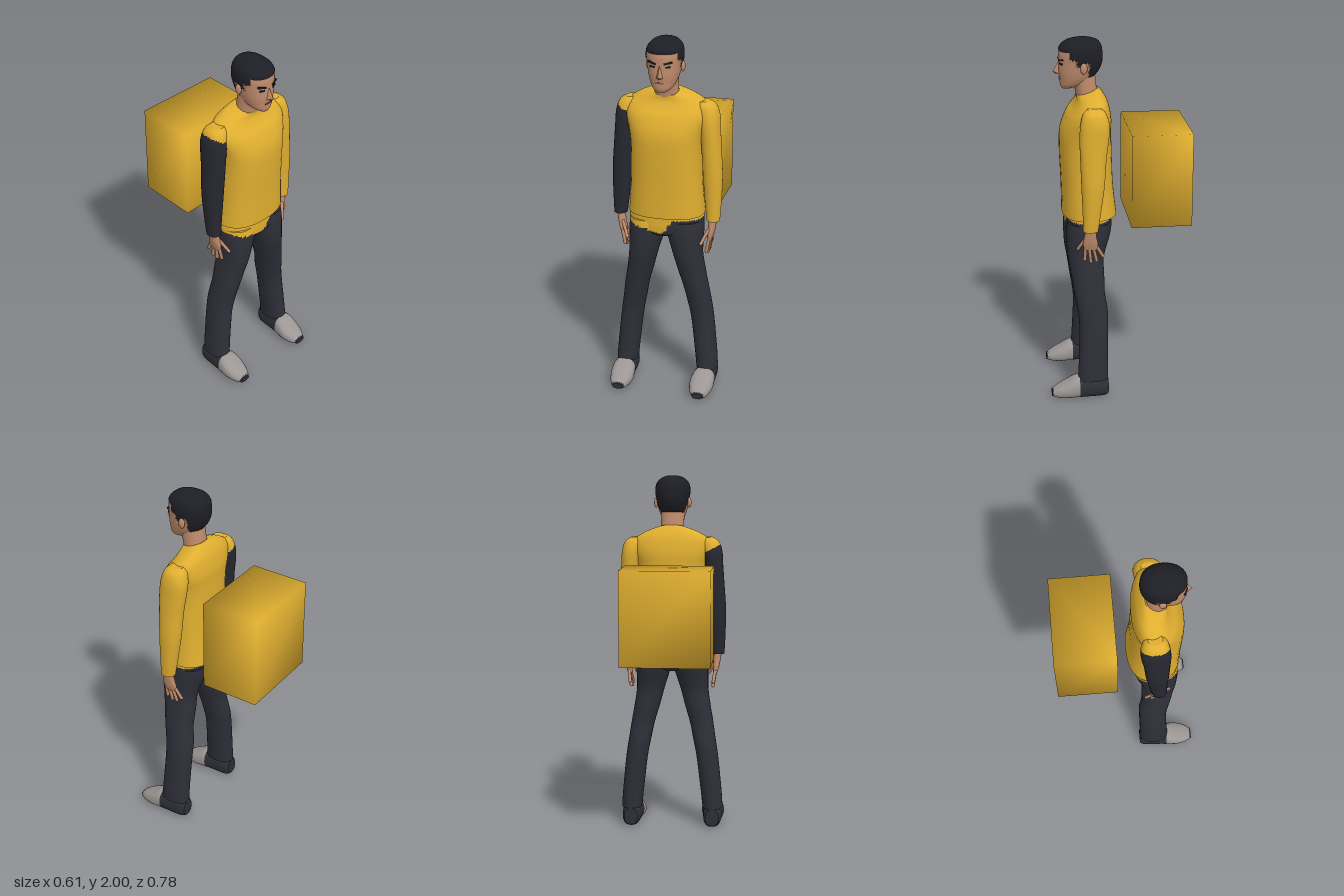
import * as THREE from 'three';
import { mergeVertices } from 'three/addons/utils/BufferGeometryUtils.js';
import { ConvexGeometry } from 'three/addons/geometries/ConvexGeometry.js';

const mat = (name, color) => new THREE.MeshStandardMaterial({ name, color });

// Smooth tube through rings [y, centreX, centreZ, radiusX, radiusZ], listed from low to high
function loft(rings, { n = 28, sub = 5, p = 2.2, shape = null } = {}) {
  const rows = [];
  const at = i => rings[Math.min(Math.max(i, 0), rings.length - 1)];
  for (let i = 0; i < rings.length - 1; i++) {
    for (let k = 0; k < sub; k++) {
      const t = k / sub;
      rows.push(at(i).map((b, c) => {
        const a = at(i - 1)[c], d = at(i + 1)[c], e = at(i + 2)[c];
        return b + 0.5 * t * (d - a + t * (2 * a - 5 * b + 4 * d - e + t * (3 * (b - d) + e - a)));
      }));
    }
  }
  rows.push(at(rings.length));
  const pos = [], idx = [];
  const sup = c => Math.sign(c) * Math.abs(c) ** (2 / p);
  const addRing = ([y, cx, cz, rx, rz]) => {
    for (let i = 0; i < n; i++) {
      const a = i / n * Math.PI * 2;
      pos.push(cx + rx * sup(Math.cos(a)), y, cz + rz * sup(Math.sin(a)));
    }
  };
  rows.forEach(addRing);
  for (let j = 0; j < rows.length - 1; j++) {
    for (let i = 0; i < n; i++) {
      const a = j * n + i, b = j * n + (i + 1) % n;
      idx.push(a, a + n, b, b, a + n, b + n);
    }
  }
  // End caps with their own vertices keep the rims sharp
  [rows[0], rows[rows.length - 1]].forEach((r, top) => {
    const s = pos.length / 3;
    addRing(r);
    pos.push(r[1], r[0], r[2]);
    for (let i = 0; i < n; i++) {
      const a = s + i, b = s + (i + 1) % n;
      idx.push(s + n, top ? b : a, top ? a : b);
    }
  });
  const g = new THREE.BufferGeometry();
  g.setAttribute('position', new THREE.Float32BufferAttribute(pos, 3));
  g.setIndex(idx);
  if (shape) {
    const v = new THREE.Vector3(), q = g.attributes.position;
    for (let i = 0; i < q.count; i++) {
      v.fromBufferAttribute(q, i);
      shape(v);
      q.setXYZ(i, v.x, v.y, v.z);
    }
  }
  g.computeVertexNormals();
  return g;
}

// Sort faces into two material groups by the position of their centre
function paint(g, isSecond) {
  const src = g.index.array, q = g.attributes.position, lists = [[], []];
  for (let i = 0; i < src.length; i += 3) {
    const f = [src[i], src[i + 1], src[i + 2]];
    const mid = get => f.reduce((s, k) => s + q[get](k), 0) / 3;
    lists[isSecond(mid('getX'), mid('getY'), mid('getZ')) ? 1 : 0].push(...f);
  }
  g.setIndex([...lists[0], ...lists[1]]);
  g.addGroup(0, lists[0].length, 0);
  g.addGroup(lists[0].length, lists[1].length, 1);
  return g;
}

export function createModel() {
  const root = new THREE.Group();
  root.name = 'courier';
  const gold = mat('gold', 0xdfae30), trouser = mat('trouser dark', 0x2e2f38);
  const sleeveDark = mat('sleeve dark', 0x272730), skin = mat('skin', 0xc08c6c);
  const hair = mat('hair', 0x1e1e26), shoeGrey = mat('shoe grey', 0x9c9794);
  const lip = mat('lip', 0x8a5a48);
  const add = (name, geo, m, parent = root) => {
    const mesh = new THREE.Mesh(geo, m);
    mesh.name = name;
    parent.add(mesh);
    return mesh;
  };

  // Backpack box with softly shaded corners
  let box = new THREE.BoxGeometry(0.486, 0.515, 0.33);
  box.deleteAttribute('uv');
  box.deleteAttribute('normal');
  box = mergeVertices(box);
  box.computeVertexNormals();
  add('deliveryBox', box, gold).position.set(0, 1.2575, -0.225);

  // Shirt, its collar tilted down to the front
  add('shirt', loft([
    [1.03, 0, 0.15, 0.208, 0.15], [1.2, 0, 0.16, 0.195, 0.142], [1.4, 0, 0.167, 0.19, 0.142],
    [1.5, 0, 0.165, 0.2, 0.138], [1.58, 0, 0.15, 0.222, 0.122], [1.64, 0, 0.14, 0.215, 0.095],
    [1.68, 0, 0.143, 0.155, 0.072], [1.703, 0, 0.15, 0.1, 0.062], [1.712, 0, 0.155, 0.074, 0.058],
  ], { p: 2.4, n: 40, shape: v => {
    v.y += (0.15 - v.z) * 0.3 * THREE.MathUtils.smoothstep(v.y, 1.58, 1.7);
  } }), gold);

  // Uneven edge between shirt tail and trousers
  const tail = (x, y) => y > (x < 0 ? 0.93 - x * 0.27 : Math.min(0.93 + x * 1.4, 1.015));
  add('hips', paint(loft([
    [0.905, 0, 0.165, 0.06, 0.07], [0.93, 0, 0.162, 0.15, 0.113], [0.96, 0, 0.158, 0.195, 0.124],
    [1.01, 0, 0.155, 0.205, 0.126], [1.08, 0, 0.157, 0.185, 0.122],
  ], { n: 64, sub: 8, p: 2.4 }), tail), [trouser, gold]);

  for (const s of [1, -1]) {
    const side = s > 0 ? 'left' : 'right';
    const mirror = rings => rings.map(([y, x, ...r]) => [y, x * s, ...r]);

    // Trouser leg
    add(side + 'Leg', paint(loft(mirror([
      [0.105, 0.233, 0.155, 0.058, 0.085], [0.2, 0.225, 0.152, 0.06, 0.082],
      [0.4, 0.203, 0.146, 0.062, 0.08], [0.5, 0.186, 0.15, 0.064, 0.084],
      [0.6, 0.168, 0.165, 0.067, 0.085], [0.7, 0.145, 0.172, 0.073, 0.092],
      [0.8, 0.125, 0.18, 0.08, 0.1], [0.93, 0.106, 0.164, 0.1, 0.121], [1.0, 0.102, 0.155, 0.1, 0.122],
    ]), { sub: 6 }), tail), [trouser, gold]);

    // Sleeve; the right one is dark below the shoulder
    add(side + 'Sleeve', paint(loft(mirror([
      [1.0, 0.26, 0.165, 0.036, 0.041], [1.1, 0.257, 0.158, 0.044, 0.049],
      [1.25, 0.252, 0.15, 0.052, 0.062], [1.4, 0.242, 0.146, 0.052, 0.07],
      [1.5, 0.235, 0.14, 0.052, 0.078], [1.58, 0.225, 0.135, 0.057, 0.077],
      [1.635, 0.212, 0.135, 0.052, 0.062], [1.66, 0.2, 0.135, 0.03, 0.038],
    ]), { sub: 8 }), (x, y) => s < 0 && y < 1.6 + (-x - 0.23) * 0.5), [gold, sleeveDark]);

    // Hand with spread fingers
    const hand = new THREE.Group();
    hand.name = side + 'Hand';
    root.add(hand);
    add('palm', loft(mirror([
      [0.885, 0.243, 0.162, 0.012, 0.036], [0.92, 0.248, 0.165, 0.018, 0.042],
      [0.96, 0.254, 0.166, 0.02, 0.034], [1.01, 0.258, 0.165, 0.023, 0.028],
    ]), { n: 14, sub: 3 }), skin, hand);
    [
      [0.245, 0.905, 0.132, 0.236, 0.84, 0.095], [0.246, 0.9, 0.15, 0.233, 0.812, 0.13],
      [0.246, 0.9, 0.172, 0.231, 0.806, 0.162], [0.246, 0.905, 0.192, 0.229, 0.82, 0.196],
      [0.243, 0.955, 0.19, 0.205, 0.875, 0.232],
    ].forEach(([x0, y0, z0, x1, y1, z1], i) => {
      const a = new THREE.Vector3(x0 * s, y0, z0), b = new THREE.Vector3(x1 * s, y1, z1);
      const dir = b.clone().sub(a);
      const finger = add(i < 4 ? 'finger' + (i + 1) : 'thumb',
        new THREE.CapsuleGeometry(0.0095, dir.length() - 0.01, 3, 8), skin, hand);
      finger.position.copy(a).add(b).multiplyScalar(0.5);
      finger.quaternion.setFromUnitVectors(new THREE.Vector3(0, 1, 0), dir.normalize());
    });

    // Shoe, lofted along its length, with dark heel and sole
    const shoe = loft(mirror([
      [0.07, 0.233, -0.058, 0.038, 0.048], [0.1, 0.233, -0.058, 0.05, 0.06],
      [0.2, 0.233, -0.06, 0.057, 0.063], [0.25, 0.232, -0.06, 0.064, 0.062],
      [0.3, 0.23, -0.046, 0.065, 0.048], [0.35, 0.23, -0.034, 0.052, 0.033],
      [0.388, 0.23, -0.026, 0.03, 0.016],
    ]), { n: 20, p: 2.5, shape: v => { v.z = Math.min(v.z, 0); } }).rotateX(Math.PI / 2);
    add(side + 'Shoe', paint(shoe, (x, y, z) => z < 0.235 || y < 0.008 || z > 0.38), [shoeGrey, trouser]);

    // Ear, brow and eye
    add(side + 'Ear', new THREE.SphereGeometry(1, 12, 8).scale(0.012, 0.03, 0.019), skin)
      .position.set(0.093 * s, 1.85, 0.178);
    const brow = add(side + 'Brow', new THREE.BoxGeometry(0.046, 0.009, 0.009), hair);
    brow.position.set(0.043 * s, 1.889, 0.296);
    brow.rotation.set(0, 0.38 * s, 0.2 * s);
    const eye = add(side + 'Eye', new THREE.BoxGeometry(0.028, 0.009, 0.006), hair);
    eye.position.set(0.041 * s, 1.868, 0.296);
    eye.rotation.y = 0.38 * s;
  }

  // Neck
  add('neck', loft([
    [1.65, 0, 0.15, 0.075, 0.06], [1.7, 0, 0.157, 0.066, 0.058], [1.8, 0, 0.175, 0.066, 0.065],
  ]), skin);

  // Head, with short hair swollen slightly off the scalp
  const isHair = (x, y, z) =>
    y > (z > 0.25 ? 1.935 : z > 0.215 ? 1.895 : z > 0.195 ? 1.86 : z > 0.15 ? 1.878 : 1.775);
  add('head', paint(loft([
    [1.73, 0, 0.262, 0.026, 0.028], [1.748, 0, 0.238, 0.052, 0.06], [1.78, 0, 0.215, 0.07, 0.086],
    [1.82, 0, 0.2, 0.082, 0.106], [1.87, 0, 0.19, 0.09, 0.115], [1.92, 0, 0.19, 0.093, 0.115],
    [1.955, 0, 0.187, 0.085, 0.106], [1.982, 0, 0.182, 0.06, 0.08], [1.996, 0, 0.18, 0.024, 0.035],
  ], { n: 48, sub: 6, shape: v => {
    if (!isHair(v.x, v.y, v.z)) return;
    v.x *= 1.05;
    v.z += (v.z - 0.19) * 0.04;
    v.y += 0.004;
  } }), isHair), [skin, hair]);

  // Nose and mouth
  const nose = [[0, 1.878, 0.305], [0, 1.82, 0.336], [0.018, 1.81, 0.303], [-0.018, 1.81, 0.303],
    [0, 1.808, 0.325], [0.012, 1.86, 0.295], [-0.012, 1.86, 0.295], [0, 1.808, 0.29]];
  add('nose', new ConvexGeometry(nose.map(q => new THREE.Vector3(...q))), skin);
  add('mouth', new THREE.BoxGeometry(0.042, 0.007, 0.009), lip).position.set(0, 1.783, 0.3);

  return root;
}
